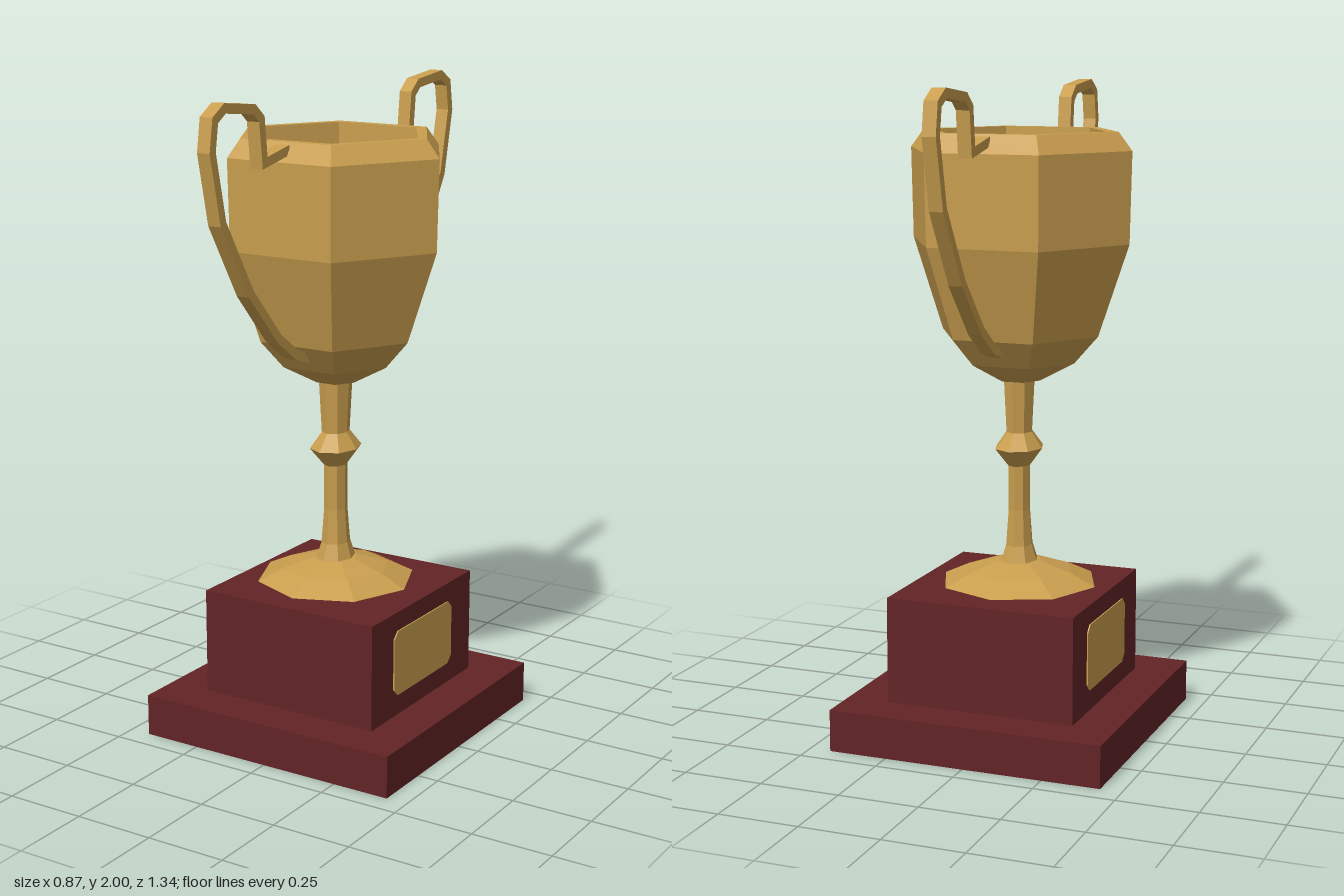
import * as THREE from 'three';

const AXIS_X = -0.015; // the cup sits very slightly off the plinth centre

export function createModel() {
  const gold = new THREE.MeshStandardMaterial({ color: 0xc99e4e, flatShading: true });
  gold.name = 'gold';
  const wood = new THREE.MeshStandardMaterial({ color: 0x622325, flatShading: true });
  wood.name = 'dark red wood';

  const model = new THREE.Group();
  model.name = 'trophy';
  const add = (name, geometry, material, x = 0, y = 0, z = 0) => {
    const mesh = new THREE.Mesh(geometry, material);
    mesh.name = name;
    mesh.position.set(x, y, z);
    model.add(mesh);
    return mesh;
  };
  // Faceted turned part with a corner pointing along +x
  const turned = (profile, sides) => new THREE.LatheGeometry(
    profile.map(([r, y]) => new THREE.Vector2(r, y)), sides, Math.PI / 2);

  // Two-step plinth
  add('plinthBase', new THREE.BoxGeometry(0.866, 0.13, 0.866), wood, 0, 0.065, 0);
  add('plinthBlock', new THREE.BoxGeometry(0.6, 0.33, 0.6), wood, 0, 0.295, 0);

  // Plaques with clipped corners on both sides
  const w = 0.175, h = 0.103, c = 0.022;
  const plaque = new THREE.Shape([
    [-w + c, -h], [w - c, -h], [w, -h + c], [w, h - c],
    [w - c, h], [-w + c, h], [-w, h - c], [-w, -h + c],
  ].map(([x, y]) => new THREE.Vector2(x, y)));
  const plaqueGeometry = new THREE.ExtrudeGeometry(plaque, { depth: 0.004, bevelEnabled: false });
  for (const side of [1, -1]) {
    const mesh = add(side > 0 ? 'leftPlaque' : 'rightPlaque', plaqueGeometry, gold, side * 0.3, 0.298, 0);
    mesh.rotation.y = side * Math.PI / 2;
  }

  // Foot
  add('foot', turned([[0, 0.473], [0.248, 0.473], [0.17, 0.51], [0.07, 0.54], [0, 0.54]], 8),
    gold, AXIS_X);

  // Stem and knob, narrower across x than along z
  const stem = add('stem', turned([
    [0.072, 0.535], [0.052, 0.59], [0.042, 0.7], [0.043, 0.84],
    [0.093, 0.895], [0.05, 0.945], [0.06, 1.11],
  ], 8), gold, AXIS_X);
  stem.scale.x = 0.8;

  // Hexagonal bowl: outer wall, rim, then hollow inside
  add('bowl', turned([
    [0, 1.105], [0.066, 1.105], [0.178, 1.165], [0.253, 1.25], [0.349, 1.53],
    [0.355, 1.805], [0.312, 1.86], [0.276, 1.86], [0.272, 1.53], [0.195, 1.27], [0, 1.27],
  ], 6), gold, AXIS_X);

  // Handles: a centre line thickened to both sides, then extruded across x
  const path = [
    [0.28, 1.84], [0.405, 1.815], [0.419, 1.94], [0.455, 1.97], [0.595, 1.985], [0.641, 1.957],
    [0.655, 1.87], [0.61, 1.67], [0.48, 1.455], [0.34, 1.3], [0.245, 1.232], [0.17, 1.21],
  ].map(([x, y]) => new THREE.Vector2(x, y));
  const half = 0.014;
  const offset = (sign) => path.map((p, i) => {
    const before = p.clone().sub(path[Math.max(i - 1, 0)]).normalize();
    const after = path[Math.min(i + 1, path.length - 1)].clone().sub(p).normalize();
    const t = before.clone().add(after).normalize();
    const edge = i === 0 ? after : before;
    const miter = half / Math.max(0.5, t.dot(edge));
    return new THREE.Vector2(p.x - t.y * miter * sign, p.y + t.x * miter * sign);
  });
  const outline = new THREE.Shape([...offset(1), ...offset(-1).reverse()]);
  const handle = new THREE.ExtrudeGeometry(outline, { depth: 0.042, bevelEnabled: false });
  handle.translate(0, 0, -0.021);
  for (const side of [1, -1]) {
    const mesh = add(side > 0 ? 'frontHandle' : 'backHandle', handle, gold, -0.013);
    mesh.rotation.y = -side * Math.PI / 2;
  }

  return model;
}
